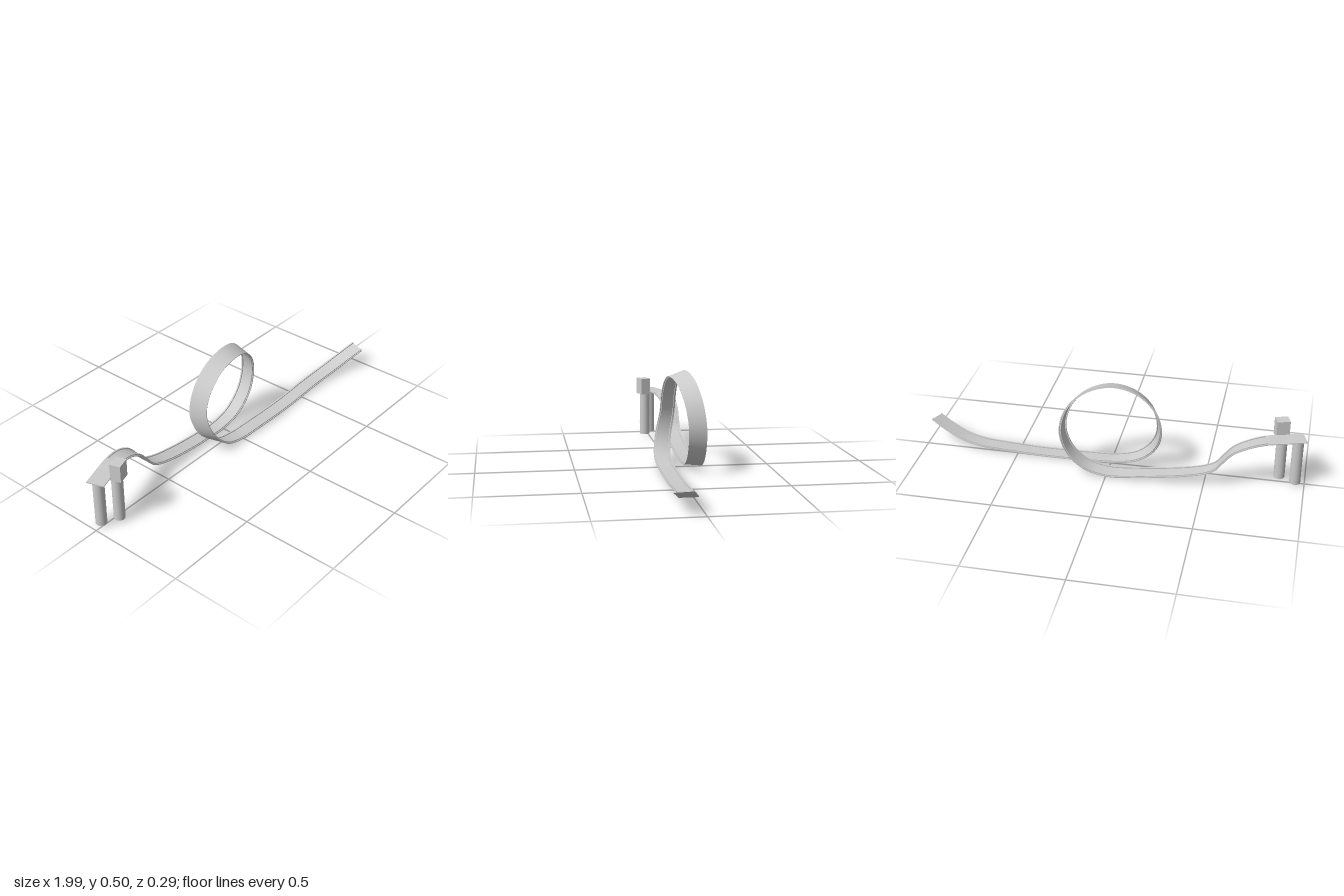
import * as THREE from 'three';
import { toCreasedNormals } from 'three/addons/utils/BufferGeometryUtils.js';

const material = new THREE.MeshStandardMaterial({ color: 0xcccccc, side: THREE.DoubleSide });
const STEPS = 6; // rings per control point span

// Control points of the centre line: [x, y, z, roll]
function controlPoints() {
  const start = [
    [-0.985, 0.272, 0.002, 0], [-0.9, 0.272, -0.026, 0], [-0.8, 0.271, -0.057, 0],
    [-0.71, 0.25, -0.08, 0], [-0.64, 0.212, -0.087, 0], [-0.595, 0.16, -0.087, 0],
    [-0.555, 0.11, -0.087, 0], [-0.5, 0.082, -0.088, 0], [-0.4, 0.057, -0.089, 0],
    [-0.25, 0.034, -0.092, 0.02], [-0.12, 0.021, -0.096, 0.06],
  ];
  const loop = [];
  const loopZ = [-0.098, -0.099, -0.098, -0.095, -0.08, -0.058, -0.035, -0.026, -0.02, -0.014, 0.012, 0.03, 0.033];
  const loopRoll = [0.1, 0.1, 0.1, 0.12, 0.18, 0.26, 0.32, 0.36, 0.38, 0.38, 0.3, 0.12, 0];
  for (let i = 0; i <= 12; i++) {
    const a = (i / 12) * Math.PI * 2;
    loop.push([-0.012 + 0.242 * Math.sin(a), 0.248 - 0.232 * Math.cos(a), loopZ[i], loopRoll[i]]);
  }
  const finish = [
    [0.1, 0.011, 0.033, 0], [0.25, 0.008, 0.033, 0], [0.4, 0.009, 0.033, 0],
    [0.5, 0.014, 0.032, 0], [0.6, 0.02, 0.031, 0], [0.7, 0.027, 0.034, 0],
    [0.8, 0.045, 0.047, 0], [0.9, 0.08, 0.073, 0.02], [0.978, 0.114, 0.1, 0.02],
  ];
  return [...start, ...loop, ...finish];
}

// Moving frames along the track: centre, across and up vectors
function buildFrames() {
  const pts = controlPoints();
  const curve = new THREE.CatmullRomCurve3(pts.map(p => new THREE.Vector3(p[0], p[1], p[2])));
  const count = (pts.length - 1) * STEPS;
  const frames = [];
  for (let i = 0; i <= count; i++) {
    const k = Math.min(Math.floor(i / STEPS), pts.length - 2);
    const roll = THREE.MathUtils.lerp(pts[k][3], pts[k + 1][3], i / STEPS - k);
    const tangent = curve.getTangent(i / count);
    const across = new THREE.Vector3(0, 0, 1).addScaledVector(tangent, -tangent.z).normalize();
    across.applyAxisAngle(tangent, -roll);
    const up = new THREE.Vector3().crossVectors(across, tangent);
    frames.push({ centre: curve.getPoint(i / count), across, up });
  }
  return frames;
}

// Sweep a rectangle (u across, v up) along the frames, with end caps
function sweepBar(frames, u0, u1, v0, v1) {
  const corners = [[u0, v0], [u0, v1], [u1, v1], [u1, v0]];
  const positions = [], index = [];
  for (const f of frames) {
    for (const [u, v] of corners) {
      const p = f.centre.clone().addScaledVector(f.across, u).addScaledVector(f.up, v);
      positions.push(p.x, p.y, p.z);
    }
  }
  for (let i = 0; i < frames.length - 1; i++) {
    for (let j = 0; j < 4; j++) {
      const a = i * 4 + j, b = i * 4 + (j + 1) % 4;
      index.push(a, a + 4, b, b, a + 4, b + 4);
    }
  }
  const e = (frames.length - 1) * 4;
  index.push(0, 1, 2, 0, 2, 3, e, e + 2, e + 1, e, e + 3, e + 2);
  const geometry = new THREE.BufferGeometry();
  geometry.setAttribute('position', new THREE.Float32BufferAttribute(positions, 3));
  geometry.setIndex(index);
  return toCreasedNormals(geometry, 0.6);
}

export function createModel() {
  const model = new THREE.Group();
  model.name = 'loopTrack';
  const add = (name, geometry, x = 0, y = 0, z = 0) => {
    const mesh = new THREE.Mesh(geometry, material);
    mesh.name = name;
    mesh.position.set(x, y, z);
    model.add(mesh);
    return mesh;
  };

  // Track bed with a low rail along each edge; rails begin after the platform
  const frames = buildFrames();
  add('trackBed', sweepBar(frames, -0.045, 0.045, -0.005, 0));
  const railFrames = frames.slice(2 * STEPS);
  for (const [name, side] of [['backRail', -1], ['frontRail', 1]]) {
    add(name, sweepBar(railFrames, side * 0.036 - 0.004, side * 0.036 + 0.004, -0.001, 0.005));
  }

  // Support posts under the launch platform
  for (const [x, z] of [[-0.952, -0.012], [-0.87, 0.027]]) {
    add('supportPost', new THREE.CylinderGeometry(0.028, 0.028, 0.252, 32), x, 0.143, z);
  }

  // Control box beside the platform
  const box = add('controlBox', new THREE.BoxGeometry(0.067, 0.09, 0.055), -0.865, 0.3, 0.035);
  box.rotation.y = 0.32;

  return model;
}
